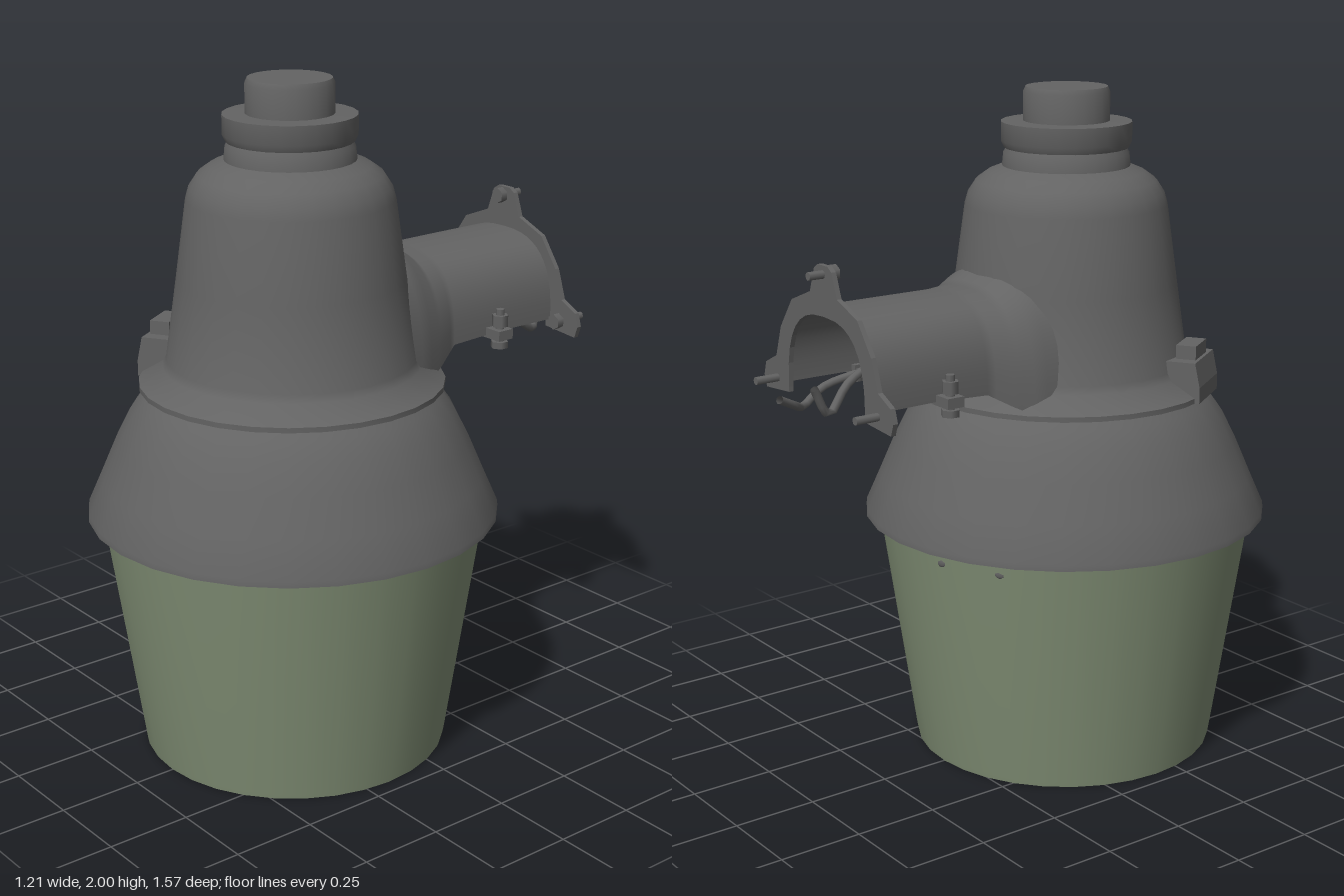
import * as THREE from 'three';
import { toCreasedNormals } from 'three/addons/utils/BufferGeometryUtils.js';
import { ParametricGeometry } from 'three/addons/geometries/ParametricGeometry.js';

const AXIS_Z = 0.17; // the lamp body sits forward of the centre

export function createModel() {
  const root = new THREE.Group();
  root.name = 'yardLamp';
  const metal = new THREE.MeshStandardMaterial({ color: 0x636363, side: THREE.DoubleSide });
  metal.name = 'dark grey metal';
  const glass = new THREE.MeshStandardMaterial({ color: 0x818f75, side: THREE.DoubleSide });
  glass.name = 'pale green glass';

  const add = (name, geometry, material, x = 0, y = 0, z = 0, parent = root) => {
    const mesh = new THREE.Mesh(geometry, material);
    mesh.name = name;
    mesh.position.set(x, y, z);
    parent.add(mesh);
    return mesh;
  };
  const lathe = (name, profile, material, sides = 28) => {
    const points = profile.map(([r, y]) => new THREE.Vector2(r, y));
    return add(name, toCreasedNormals(new THREE.LatheGeometry(points, sides), 0.6), material, 0, 0, AXIS_Z);
  };

  // Open-bottomed refractor bowl
  lathe('refractor', [[0.445, 0.015], [0.455, 0], [0.458, 0.015], [0.565, 0.735]], glass, 32);

  // Flared skirt, with its lip turned in to the glass
  lathe('skirt', [[0.56, 0.735], [0.606, 0.728], [0.604, 0.745], [0.56, 0.845], [0.515, 0.95],
    [0.475, 1.03], [0.435, 1.085], [0.40, 1.117]], metal);

  // Tapered housing with a flange at its foot
  lathe('housing', [[0.40, 1.113], [0.445, 1.113], [0.445, 1.128], [0.375, 1.172], [0.364, 1.195],
    [0.33, 1.43], [0.298, 1.66], [0.288, 1.695], [0.265, 1.73], [0.23, 1.755], [0.188, 1.772],
    [0.184, 1.81], [0.165, 1.84]], metal);

  // Collar and photocell cap
  lathe('collar', [[0.16, 1.825], [0.183, 1.825], [0.192, 1.845], [0.192, 1.9], [0.12, 1.902]], metal, 24);
  lathe('cap', [[0.127, 1.89], [0.127, 1.985], [0.12, 2], [0, 2]], metal, 24);

  // Latch on the shoulder, turned to follow the housing
  const latch = new THREE.Group();
  latch.name = 'latch';
  latch.position.set(-0.33, 0, 0.38);
  latch.rotation.y = Math.atan2(0.33, 0.21) + Math.PI;
  root.add(latch);
  latch.rotation.y = -Math.atan2(0.33, 0.21); // local +z points away from the axis
  const lug = new THREE.Shape();
  [[-0.10, 1.113], [0.055, 1.113], [0.055, 1.16], [0.04, 1.232], [-0.10, 1.232]]
    .forEach(([u, v], i) => (i ? lug.lineTo(u, v) : lug.moveTo(u, v)));
  const lugGeometry = new THREE.ExtrudeGeometry(lug, { depth: 0.19, bevelEnabled: false });
  lugGeometry.translate(0, 0, -0.095).rotateY(-Math.PI / 2);
  add('latchLug', lugGeometry, metal, 0, 0, 0, latch);
  add('latchCatch', new THREE.BoxGeometry(0.11, 0.045, 0.06), metal, 0, 1.25, 0, latch);

  // Arm: an open-bottomed channel that widens into the housing
  const archPoint = (a, w, base, top) => {
    const c = Math.cos(a), s = Math.max(0, Math.sin(a));
    return [w * Math.sign(c) * Math.abs(c) ** 0.75, base + (top - base) * s ** 0.75];
  };
  const sections = [ // z, half width, base, top
    [-0.655, 0.22, 1.2, 1.45], [-0.45, 0.216, 1.2, 1.45], [-0.27, 0.212, 1.19, 1.45],
    [-0.2, 0.24, 1.15, 1.455], [-0.14, 0.262, 1.12, 1.49], [-0.02, 0.28, 1.12, 1.52],
  ];
  const arm = new ParametricGeometry((u, v, target) => {
    const f = v * (sections.length - 1);
    const i = Math.min(Math.floor(f), sections.length - 2);
    const [z, w, base, top] = sections[i].map((n, k) => THREE.MathUtils.lerp(n, sections[i + 1][k], f - i));
    const [x, y] = archPoint(u * Math.PI, w, base, top);
    target.set(x, y, z);
  }, 24, 15);
  add('arm', arm, metal);

  // Arched mounting plate with three bolt ears
  const plate = new THREE.Shape();
  const half = [[0.2, 1.175], [0.325, 1.165], [0.337, 1.2], [0.325, 1.24], [0.265, 1.27], [0.235, 1.36],
    [0.17, 1.45], [0.07, 1.49], [0.045, 1.56], [0.025, 1.573]];
  half.forEach(([x, y], i) => (i ? plate.lineTo(x, y) : plate.moveTo(x, y)));
  [...half].reverse().forEach(([x, y]) => plate.lineTo(-x, y));
  for (let i = 16; i >= 0; i--) {
    const [x, y] = archPoint((i / 16) * Math.PI, 0.2, 1.19, 1.43);
    plate.lineTo(x, y);
  }
  add('mountingPlate', new THREE.ExtrudeGeometry(plate, { depth: 0.015, bevelEnabled: false }),
    metal, 0, 0, -0.668);

  // Plate bolts
  const bolt = (name, x, y, z0, z1) => {
    add(name, new THREE.CylinderGeometry(0.012, 0.012, z0 - z1, 8).rotateX(Math.PI / 2), metal, x, y, (z0 + z1) / 2);
    add(name + 'Head', new THREE.CylinderGeometry(0.024, 0.024, 0.022, 6).rotateX(Math.PI / 2), metal, x, y, z0 - 0.011);
  };
  bolt('topBolt', 0, 1.548, -0.625, -0.715);
  for (const side of [-1, 1]) {
    bolt('sideBolt', side * 0.262, 1.205, -0.625, -0.74);

    // Clamp lugs and upright screws beside the arm
    add('clampLug', new THREE.BoxGeometry(0.075, 0.03, 0.055), metal, side * 0.235, 1.205, -0.42);
    add('clampScrew', new THREE.CylinderGeometry(0.013, 0.013, 0.12, 8), metal, side * 0.245, 1.22, -0.42);
    add('clampNut', new THREE.CylinderGeometry(0.025, 0.025, 0.035, 6), metal, side * 0.245, 1.245, -0.42);
    add('clampHead', new THREE.CylinderGeometry(0.027, 0.027, 0.02, 6), metal, side * 0.245, 1.172, -0.42);
  }

  // Clamp strap across the open underside of the arm
  add('clampStrap', new THREE.BoxGeometry(0.44, 0.02, 0.05), metal, 0, 1.2, -0.42);

  // Supply wires hanging from the arm
  const wire = (name, points) => add(name, new THREE.TubeGeometry(
    new THREE.CatmullRomCurve3(points.map((p) => new THREE.Vector3(...p))), 20, 0.012, 8), metal);
  wire('wireRight', [[-0.06, 1.3, -0.3], [-0.08, 1.3, -0.55], [-0.1, 1.26, -0.66], [-0.115, 1.19, -0.73], [-0.125, 1.27, -0.78]]);
  wire('wireLeft', [[0.08, 1.25, -0.3], [0.15, 1.19, -0.58], [0.13, 1.148, -0.665], [0.085, 1.17, -0.72], [0.06, 1.2, -0.78]]);

  // Small clip ends showing through the glass at the back
  for (const [x, z, y, size] of [[0.35, -0.43, 0.65, 0.032], [-0.12, -0.54, 0.69, 0.02], [-0.30, -0.46, 0.69, 0.02]]) {
    const a = Math.atan2(x, z);
    const clip = add('clipEnd', new THREE.SphereGeometry(size, 10, 6), metal,
      Math.sin(a) * 0.553, y, AXIS_Z + Math.cos(a) * 0.553);
    clip.rotation.y = a;
    clip.scale.set(1, 0.75, 0.3);
  }
  return root;
}
